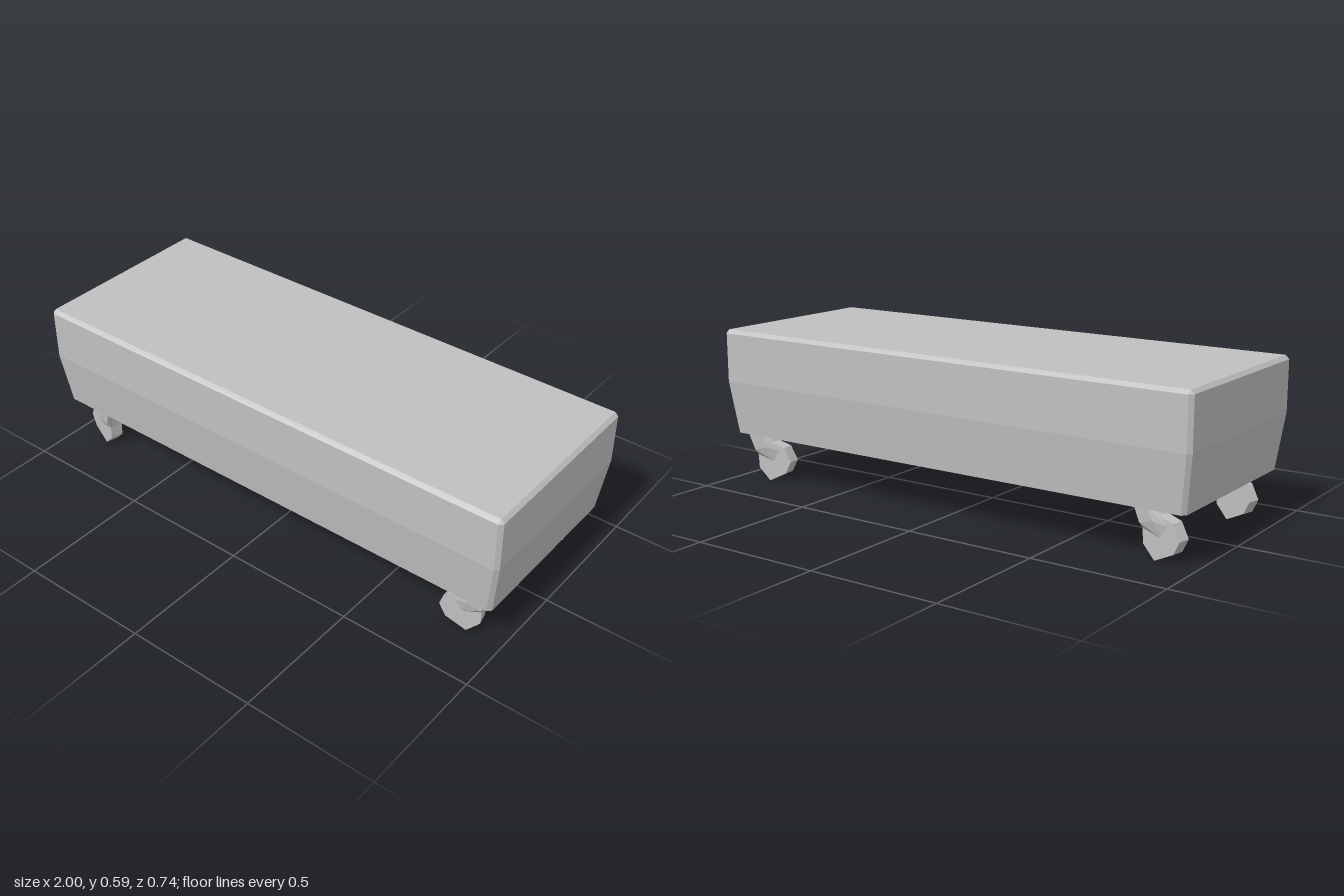
import * as THREE from 'three';
import { ConvexGeometry } from 'three/addons/geometries/ConvexGeometry.js';

// Rectangle with chamfered corners, counter-clockwise seen from above
function ring(y, hx, hz, c) {
  return [
    [hx, hz - c], [hx, c - hz], [hx - c, -hz], [c - hx, -hz],
    [-hx, c - hz], [-hx, hz - c], [c - hx, hz], [hx - c, hz],
  ].map(([x, z]) => [x, y, z]);
}

// Faceted shell, open underneath and closed on top
function shellGeometry(rings) {
  const pos = [];
  const tri = (...corners) => corners.forEach((p) => pos.push(...p));
  for (let r = 0; r < rings.length - 1; r++) {
    const a = rings[r], b = rings[r + 1];
    for (let i = 0; i < 8; i++) {
      const j = (i + 1) % 8;
      tri(a[i], a[j], b[j]);
      tri(a[i], b[j], b[i]);
    }
  }
  const top = rings[rings.length - 1];
  for (let i = 1; i < 7; i++) tri(top[0], top[i], top[i + 1]);
  const geo = new THREE.BufferGeometry();
  geo.setAttribute('position', new THREE.Float32BufferAttribute(pos, 3));
  geo.computeVertexNormals();
  return geo;
}

export function createModel() {
  const model = new THREE.Group();
  model.name = 'wheeledBox';
  const grey = new THREE.MeshStandardMaterial({
    color: 0xc0c0c0, side: THREE.DoubleSide, flatShading: true,
  });
  grey.name = 'grey';

  // Box body: tapered below, straight above, bevelled top edge
  const body = new THREE.Mesh(shellGeometry([
    ring(0.187, 0.975, 0.348, 0.014),
    ring(0.393, 1, 0.372, 0.014),
    ring(0.58, 1, 0.372, 0.014),
    ring(0.594, 0.987, 0.358, 0.001),
  ]), grey);
  body.name = 'body';
  model.add(body);

  // Caster: eight-sided wheel running into a slanted stem
  const outline = [
    [-0.074, 0.007], [-0.044, 0.061], [0.01, 0.077], [0.042, 0.111], [0.108, 0.111],
    [0.083, 0.06], [0.077, 0.022], [0.074, -0.03], [0.026, -0.078], [-0.049, -0.041],
  ].map((p) => new THREE.Vector2(...p));
  const thick = 0.048;
  const wheelGeo = new THREE.ExtrudeGeometry(new THREE.Shape(outline), { depth: thick, bevelEnabled: false });
  wheelGeo.translate(0, 0, -thick / 2);

  // Hood: wedge swelling from the hub up to the stem, on the outer side
  const hoodGeo = (side) => new ConvexGeometry([
    [0, 0, 0.022], [-0.025, 0.045, 0.022], [0.076, 0.02, 0.022],
    [0.042, 0.111, 0.022], [0.108, 0.111, 0.022],
    [0.025, 0.06, 0.04], [0.078, 0.045, 0.042], [0.05, 0.111, 0.045], [0.105, 0.111, 0.045],
  ].map(([x, y, z]) => new THREE.Vector3(x, y, z * side)));

  // name, x, z, turn about the stem, outer side
  for (const [name, x, z, yaw, side] of [
    ['frontLeftCaster', 0.83, 0.278, 0.24, 1],
    ['frontRightCaster', -0.868, 0.272, -0.26, 1],
    ['backLeftCaster', 0.83, -0.275, 0.15, -1],
    ['backRightCaster', -0.872, -0.272, -0.18, -1],
  ]) {
    const caster = new THREE.Group();
    caster.name = name;
    const wheel = new THREE.Mesh(wheelGeo, grey);
    wheel.name = 'wheelAndStem';
    const hood = new THREE.Mesh(hoodGeo(side), grey);
    hood.name = 'hood';
    caster.add(wheel, hood);
    caster.position.set(x, 0.078, z);
    caster.rotation.y = yaw;
    model.add(caster);
  }
  return model;
}
